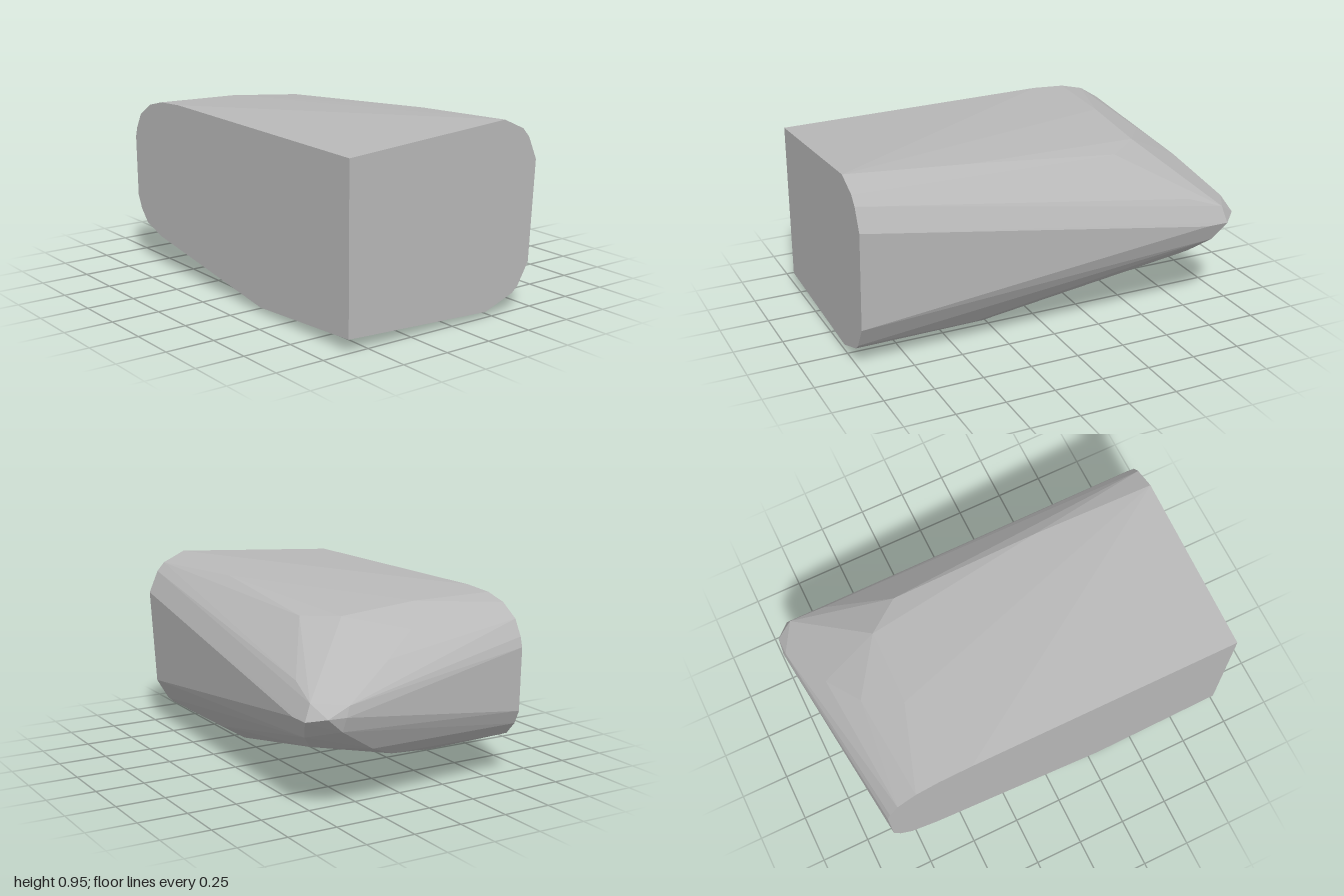
import * as THREE from 'three';
import { ConvexGeometry } from 'three/addons/geometries/ConvexGeometry.js';

export function createModel() {
  const group = new THREE.Group();
  group.name = 'rock';
  const stone = new THREE.MeshStandardMaterial({ color: 0xb8b8b8, flatShading: true });
  stone.name = 'grey stone';

  // flat cut at the front: x, y
  const frontCut = [
    [1, 0.887], [-0.43, 0.905], [-0.6, 0.895], [-0.72, 0.865], [-0.82, 0.8], [-0.865, 0.72], [-0.88, 0.67],
    [-0.872, 0.35], [-0.84, 0.28], [-0.78, 0.215], [-0.64, 0.168], [0.3, 0.025], [1, 0.065],
  ];
  // flat cut at the left side: z, y
  const sideCut = [
    [-0.3, 0.95], [-0.42, 0.895], [-0.46, 0.85], [-0.51, 0.735], [-0.48, 0.23],
    [-0.415, 0.12], [-0.38, 0.09], [-0.21, 0.028],
  ];
  // rounded top
  const top = [
    [0.37, 0.91, -0.33], [-0.4, 0.84, -0.35], [-0.57, 0.855, -0.22], [-0.58, 0.89, 0.18],
    [-0.76, 0.8, 0.05], [-0.87, 0.7, -0.15], [-0.4, 0.68, -0.51], [-0.68, 0.71, -0.4], [-0.72, 0.62, -0.55],
  ];
  // blunt corner where the back meets the right side
  const corner = [
    [-0.9, 0.56, -0.58], [-0.99, 0.55, -0.43], [-1, 0.5, -0.45], [-0.99, 0.5, -0.54],
    [-0.915, 0.48, -0.615], [-0.8, 0.48, -0.615], [-0.98, 0.43, -0.46], [-0.85, 0.39, -0.58],
  ];
  // underside
  const bottom = [
    [-0.76, 0.31, -0.5], [-0.9, 0.3, -0.25], [-0.83, 0.235, -0.1], [-0.72, 0.18, 0.2],
    [0.38, 0.105, -0.39], [0.3, 0.045, -0.29], [0.34, 0, -0.14],
  ];

  const points = [
    ...frontCut.map(([x, y]) => [x, y, 0.61]),
    ...sideCut.map(([z, y]) => [1, y, z]),
    ...top, ...corner, ...bottom,
  ].map((p) => new THREE.Vector3(...p));

  const mesh = new THREE.Mesh(new ConvexGeometry(points), stone);
  mesh.name = 'rockBody';
  group.add(mesh);
  return group;
}
